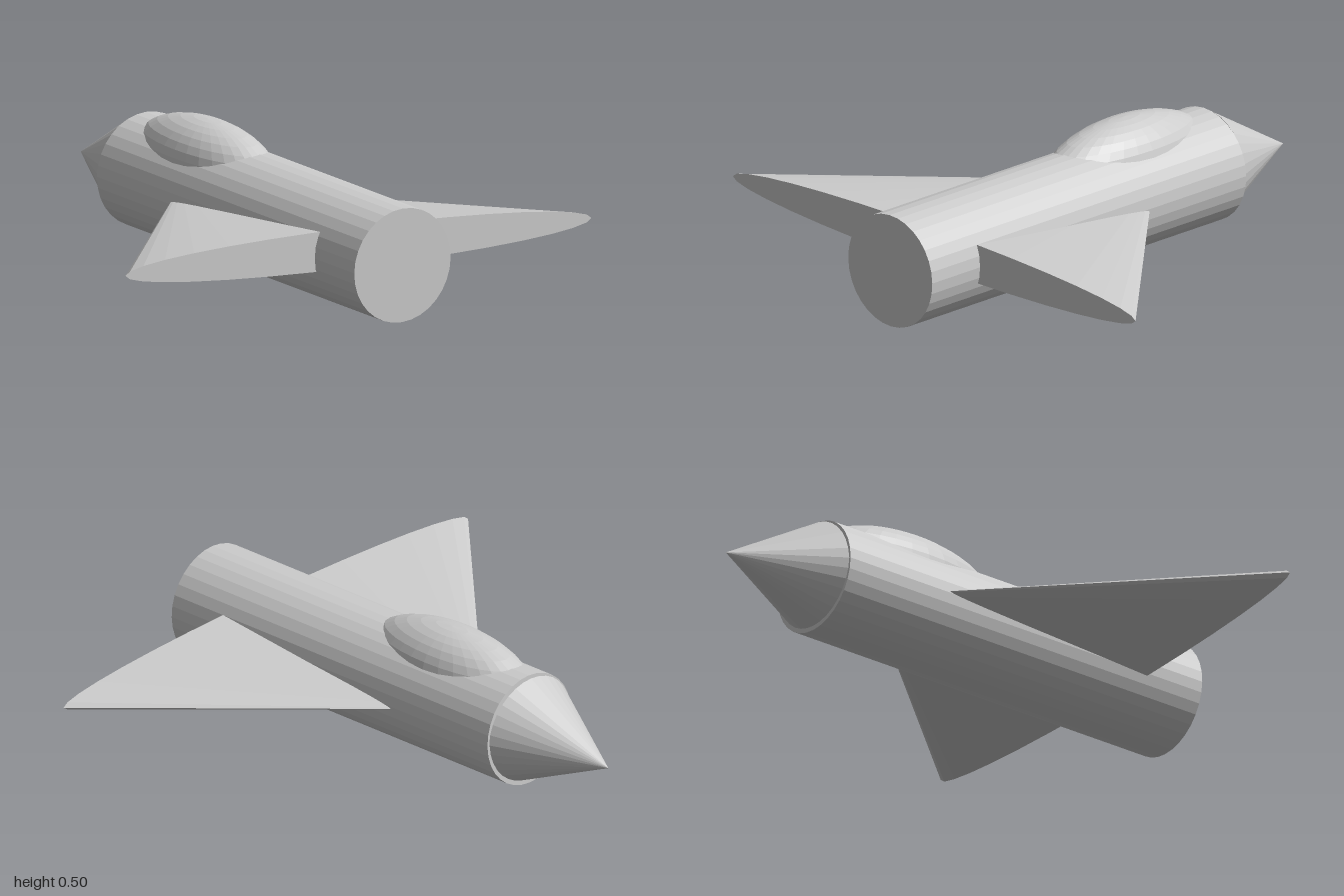
import * as THREE from 'three';

const SIDES = 32;
const material = new THREE.MeshStandardMaterial({ color: 0xcccccc, flatShading: true });

// Round part running from one point to another, tapering between two radii
function taperBetween(name, from, to, rFrom, rTo) {
  const a = new THREE.Vector3(...from), b = new THREE.Vector3(...to);
  const geometry = new THREE.CylinderGeometry(rTo, rFrom, a.distanceTo(b), SIDES);
  const mesh = new THREE.Mesh(geometry, material);
  mesh.name = name;
  mesh.position.copy(a).add(b).multiplyScalar(0.5);
  mesh.quaternion.setFromUnitVectors(new THREE.Vector3(0, 1, 0), b.sub(a).normalize());
  return mesh;
}

export function createModel() {
  const group = new THREE.Group();
  group.name = 'aircraft';

  // Body, slightly raised toward the nose
  group.add(taperBetween('fuselage', [0.987, 0.2085, -0.0175], [-0.595, 0.2345, -0.0175], 0.2075, 0.2075));

  // Pointed nose, a little narrower than the body
  group.add(taperBetween('noseCone', [-0.594, 0.236, -0.0165], [-0.992, 0.215, -0.018], 0.199, 0));

  // Elongated cockpit bubble
  const canopy = new THREE.Mesh(new THREE.SphereGeometry(0.152, SIDES, 16), material);
  canopy.name = 'canopy';
  canopy.scale.set(2.5, 1, 1);
  canopy.position.set(-0.202, 0.348, -0.009);
  canopy.rotation.z = -0.015;
  group.add(canopy);

  // Delta wings: one flattened cone through the body, apex forward, banked slightly
  const delta = new THREE.ConeGeometry(1, 1.1, SIDES)
    .rotateZ(Math.PI / 2)
    .scale(1, 0.073, 1)
    .rotateX(-0.0375)
    .rotateY(-0.005)
    .rotateZ(0.003);
  const wings = new THREE.Mesh(delta, material);
  wings.name = 'deltaWings';
  wings.position.set(0.195, 0.227, 0);
  group.add(wings);

  return group;
}
